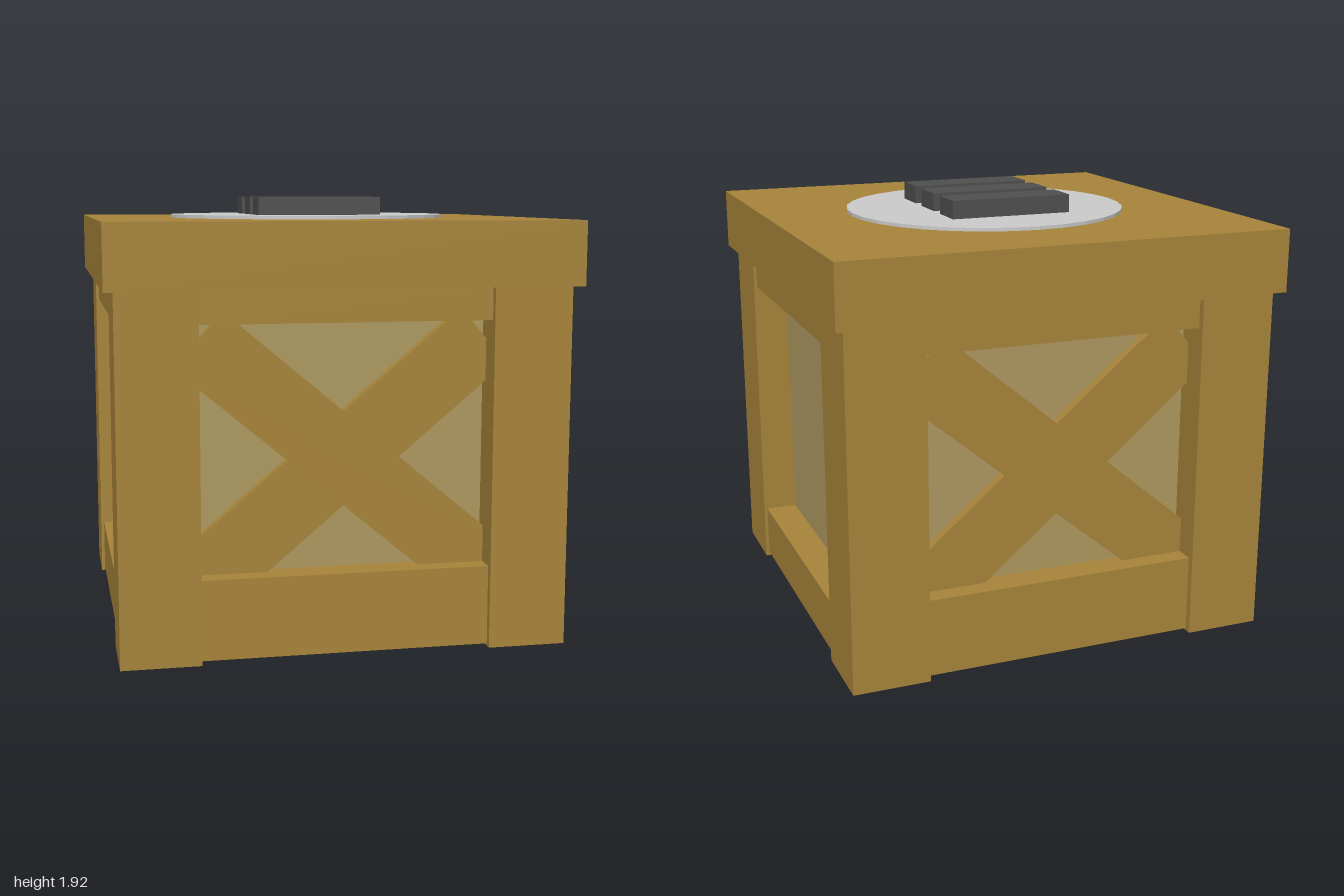
import * as THREE from 'three';

const wood = new THREE.MeshStandardMaterial({ color: 0xa7843a, flatShading: true });
const panelWood = new THREE.MeshStandardMaterial({ color: 0xae9960, flatShading: true });
const grey = new THREE.MeshStandardMaterial({ color: 0xcccccc, flatShading: true });
const dark = new THREE.MeshStandardMaterial({ color: 0x4f4f4f, flatShading: true });

// Box given by its minimum and maximum corners
function box(name, material, [x0, y0, z0], [x1, y1, z1]) {
  const mesh = new THREE.Mesh(new THREE.BoxGeometry(x1 - x0, y1 - y0, z1 - z0), material);
  mesh.position.set((x0 + x1) / 2, (y0 + y1) / 2, (z0 + z1) / 2);
  mesh.name = name;
  return mesh;
}

// Rails and crossed planks of the front; turned round for the back
function braceSide(name) {
  const side = new THREE.Group();
  side.name = name;
  side.add(box('bottomRail', wood, [-0.62, 0.01, 0.62], [0.62, 0.355, 0.93]));
  side.add(box('topRail', wood, [-0.62, 1.415, 0.62], [0.62, 1.555, 0.93]));
  for (const s of [-1, 1]) {
    const plank = new THREE.Mesh(new THREE.BoxGeometry(1.59, 0.31, 0.1), wood);
    plank.name = 'crossPlank';
    plank.position.set(0, 0.832, 0.795);
    plank.rotation.z = s * THREE.MathUtils.degToRad(40);
    side.add(plank);
  }
  return side;
}

// Rails of a plain side, built facing +z
function plainSide(name) {
  const side = new THREE.Group();
  side.name = name;
  side.add(box('bottomRail', wood, [-0.62, 0.02, 0.62], [0.62, 0.255, 0.945]));
  side.add(box('topRail', wood, [-0.62, 1.41, 0.62], [0.62, 1.53, 0.945]));
  return side;
}

export function createModel() {
  const crate = new THREE.Group();
  crate.name = 'crate';

  // Inner body
  crate.add(box('sidePanels', panelWood, [-0.8, 0.12, -0.8], [0.8, 1.53, 0.8]));
  crate.add(box('floor', wood, [-0.7, 0.1, -0.7], [0.7, 0.13, 0.7]));
  crate.add(box('topCollar', wood, [-0.8, 1.53, -0.8], [0.8, 1.56, 0.8]));

  // Corner posts
  for (const x of [-0.79, 0.79]) {
    for (const z of [-0.79, 0.79]) {
      crate.add(box('cornerPost', wood, [x - 0.17, 0, z - 0.17], [x + 0.17, 1.555, z + 0.17]));
    }
  }

  // Four sides
  const front = braceSide('frontSide');
  const back = braceSide('backSide');
  back.rotation.y = Math.PI;
  const left = plainSide('leftSide');
  left.rotation.y = Math.PI / 2;
  const right = plainSide('rightSide');
  right.rotation.y = -Math.PI / 2;
  crate.add(front, back, left, right);

  // Lid with disc and raised bars
  crate.add(box('lid', wood, [-1, 1.555, -1], [1, 1.83, 1]));
  const disc = new THREE.Mesh(new THREE.CylinderGeometry(0.635, 0.635, 0.035, 32), grey);
  disc.name = 'lidDisc';
  disc.position.y = 1.8275;
  crate.add(disc);
  for (const z of [-0.25, 0, 0.25]) {
    crate.add(box('lidBar', dark, [-0.277, 1.835, z - 0.083], [0.277, 1.925, z + 0.083]));
  }
  return crate;
}
